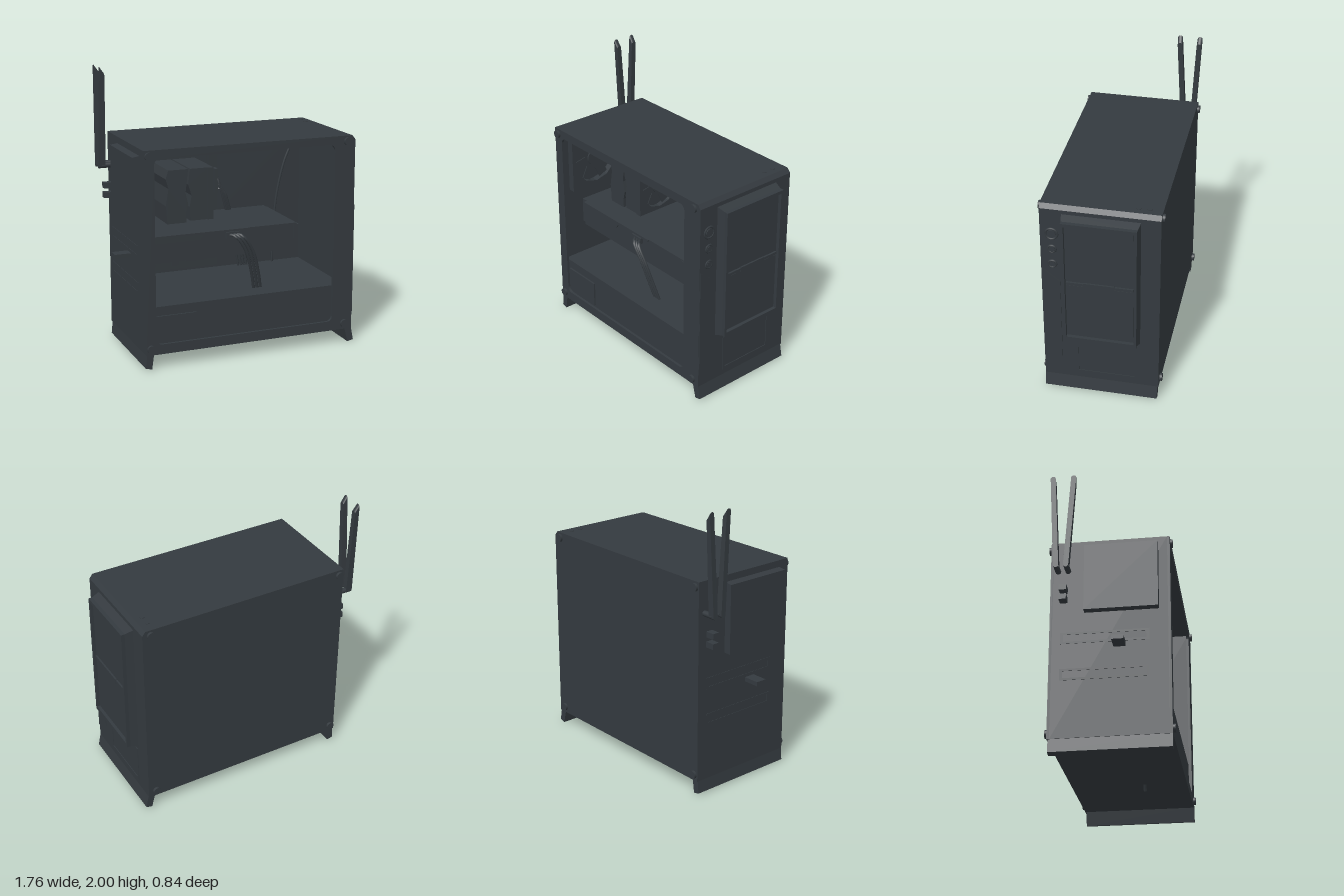
import * as THREE from 'three';

const mat = new THREE.MeshStandardMaterial({ color: 0x343a3f });
const V = (x, y, z) => new THREE.Vector3(x, y, z);

export function createModel() {
  const root = new THREE.Group();

  const add = (name, geo) => {
    const m = new THREE.Mesh(geo, mat);
    m.name = name;
    root.add(m);
    return m;
  };
  // box given by its limits on each axis
  const box = (name, x0, x1, y0, y1, z0, z1) => {
    const m = add(name, new THREE.BoxGeometry(x1 - x0, y1 - y0, z1 - z0));
    m.position.set((x0 + x1) / 2, (y0 + y1) / 2, (z0 + z1) / 2);
  };
  const poly = (pts) => new THREE.Shape(pts.map(([x, y]) => new THREE.Vector2(x, y)));
  const rect = (x0, x1, y0, y1) => poly([[x0, y0], [x1, y0], [x1, y1], [x0, y1]]);
  const roundRect = (x0, x1, y0, y1, r) => {
    const s = new THREE.Shape();
    s.absarc(x1 - r, y1 - r, r, 0, Math.PI / 2);
    s.absarc(x0 + r, y1 - r, r, Math.PI / 2, Math.PI);
    s.absarc(x0 + r, y0 + r, r, Math.PI, Math.PI * 1.5);
    s.absarc(x1 - r, y0 + r, r, Math.PI * 1.5, Math.PI * 2);
    return s;
  };
  // shape in the xy plane, extruded from z0 to z1
  const slab = (name, shape, z0, z1, hole) => {
    if (hole) shape.holes.push(hole);
    const g = new THREE.ExtrudeGeometry(shape, { depth: z1 - z0, bevelEnabled: false, curveSegments: 6 });
    return add(name, g.translate(0, 0, z0));
  };
  // shape drawn as (-z, y), extruded along +x from x0 to x1
  const sideSlab = (name, shape, x0, x1, hole) => {
    const m = slab(name, shape, x0, x1, hole);
    m.rotation.y = Math.PI / 2;
    return m;
  };
  const tube = (name, pts, r) =>
    add(name, new THREE.TubeGeometry(new THREE.CatmullRomCurve3(pts), 20, r, 6));
  const cyl = (name, r, h, axis, x, y, z, n = 20) => {
    const g = new THREE.CylinderGeometry(r, r, h, n);
    if (axis === 'x') g.rotateZ(Math.PI / 2);
    if (axis === 'z') g.rotateX(Math.PI / 2);
    add(name, g).position.set(x, y, z);
  };
  // fan facing along x: square frame with bore, hub and blades
  const fan = (x0, x1, y, z, half) => {
    const bore = new THREE.Path().absarc(-z, y, half * 0.88, 0, Math.PI * 2);
    sideSlab('fanFrame', rect(-z - half, -z + half, y - half, y + half), x0, x1, bore);
    const x = (x0 + x1) / 2;
    cyl('fanHub', half * 0.3, 0.03, 'x', x, y, z);
    for (let i = 0; i < 7; i++) {
      const b = add('fanBlade', new THREE.BoxGeometry(0.005, half * 0.58, half * 0.35).translate(0, half * 0.55, 0));
      b.position.set(x, y, z);
      b.rotation.x = (i / 7) * Math.PI * 2;
    }
  };

  // case shell: outer ring, window frame and back panel
  const outline = () => poly([[-0.765, 0.1], [0.796, 0.1], [0.796, 1.49], [0.772, 1.52], [-0.765, 1.52]]);
  slab('caseShell', outline(), -0.385, 0.385, rect(-0.74, 0.74, 0.12, 1.5));
  slab('windowFrame', outline(), 0.385, 0.403, roundRect(-0.69, 0.64, 0.17, 1.46, 0.04));
  slab('backPanel', outline(), -0.403, -0.385);

  // corner screws on both large sides
  for (const x of [-0.73, 0.735])
    for (const y of [0.145, 1.48])
      for (const s of [-1, 1]) cyl('cornerScrew', 0.028, 0.03, 'z', x, y, s * 0.405);

  // splayed feet
  slab('rearFoot', poly([[-0.77, 0.01], [-0.725, 0], [-0.71, 0.105], [-0.76, 0.105]]), -0.395, 0.403);
  slab('frontFoot', poly([[0.77, 0], [0.815, 0.01], [0.796, 0.105], [0.743, 0.105]]), -0.395, 0.403);

  // intake cover: tapered block with a recessed rim
  const taper = new THREE.BoxGeometry(0.065, 0.995, 0.53);
  const p = taper.attributes.position;
  for (let i = 0; i < p.count; i++)
    if (p.getX(i) > 0) p.setXYZ(i, p.getX(i), p.getY(i) * 0.955, p.getZ(i) * 0.95);
  taper.computeVertexNormals();
  add('intakeCover', taper).position.set(0.822, 0.967, -0.008);
  sideSlab('intakeRim', rect(-0.244, 0.26, 0.492, 1.443), 0.852, 0.88, rect(-0.225, 0.242, 0.52, 1.42));
  for (const [y0, y1] of [[0.525, 0.945], [0.98, 1.415]])
    box('intakePanel', 0.85, 0.86, y0, y1, -0.235, 0.22);
  box('intakeBar', 0.85, 0.868, 0.953, 0.973, -0.235, 0.22);
  box('intakeBarCentre', 0.85, 0.872, 0.947, 0.98, -0.11, 0.1);

  // lower frame and raised corner plate on the intake side
  sideSlab('lowerFrame', rect(-0.18, 0.255, 0.15, 0.44), 0.79, 0.801, rect(-0.16, 0.235, 0.17, 0.42));
  sideSlab('cornerPlate', poly([[-0.4, 0.2], [-0.275, 0.27], [-0.275, 0.92], [-0.4, 1.02]]), 0.79, 0.802);

  // control buttons and top buttons
  for (const [y, r] of [[1.3, 0.048], [1.18, 0.034], [1.06, 0.034]]) {
    const ring = add('buttonRing', new THREE.TorusGeometry(r - 0.008, 0.008, 6, 24));
    ring.rotation.y = Math.PI / 2;
    ring.position.set(0.796, y, 0.325);
    cyl('button', r * 0.6, 0.02, 'x', 0.794, y, 0.325, 12);
  }
  for (const z of [-0.315, -0.24]) cyl('topButton', 0.017, 0.01, 'y', 0.715, 1.518, z);

  // rear bulge, bracket tab, slots and ports
  slab('rearBulge', poly([[-0.817, 0.98], [-0.75, 0.98], [-0.75, 1.475], [-0.817, 1.465]]), -0.17, 0.325);
  box('rearTab', -0.882, -0.75, 0.72, 0.75, 0.025, 0.105);
  for (const y of [0.5, 0.76])
    sideSlab('rearSlot', rect(-0.26, 0.33, y, y + 0.08), -0.768, -0.76, rect(-0.24, 0.31, y + 0.015, y + 0.065));
  for (const y of [1.06, 1.13]) box('rearPort', -0.832, -0.75, y, y + 0.04, -0.335, -0.285);

  // antennas leaning apart, rounded tips cut on a slant
  for (const [z, lean] of [[-0.284, 0.06], [-0.352, -0.05]]) {
    cyl('antennaConnector', 0.02, 0.1, 'x', -0.8, 1.3, z, 10);
    const a = sideSlab('antenna', roundRect(-0.018, 0.018, -0.02, 0.7, 0.0175), -0.026, 0.022);
    const q = a.geometry.attributes.position;
    for (let i = 0; i < q.count; i++) {
      if (q.getY(i) < 0.6) continue;
      if (q.getZ(i) > 0) q.setXYZ(i, q.getX(i), q.getY(i) - 0.045, 0.016);
      else q.setZ(i, -0.016);
    }
    a.geometry.computeVertexNormals();
    a.position.set(-0.845, 1.3, z);
    a.rotation.x = lean;
  }

  // lower shroud with access plate
  box('powerShroud', -0.74, 0.74, 0.12, 0.43, -0.385, 0.372);
  box('shroudPlate', -0.69, -0.39, 0.175, 0.365, 0.37, 0.384);

  // main board on the back panel
  box('mainBoard', -0.69, 0.06, 0.45, 1.4, -0.385, -0.37);
  box('portCover', -0.69, -0.53, 0.98, 1.4, -0.37, -0.24);
  box('portCoverCap', -0.6, -0.53, 1.36, 1.39, -0.24, -0.23);
  for (const y of [0.495, 0.625]) {
    box('driveSlot', -0.6, -0.3, y, y + 0.02, -0.37, -0.35);
    box('driveSlotEnd', -0.31, -0.255, y - 0.012, y + 0.032, -0.37, -0.345);
  }
  slab('chipCover', poly([[-0.2, 0.51], [-0.04, 0.51], [-0.02, 0.56], [0, 0.6], [0, 0.69], [-0.2, 0.69]]), -0.37, -0.34);

  // memory modules with end clips
  for (let i = 0; i < 4; i++) {
    const x = -0.13 + i * 0.03;
    box('memory', x, x + 0.016, 0.93, 1.34, -0.37, -0.27);
    for (const y of [0.905, 1.34]) box('memoryClip', x - 0.003, x + 0.019, y, y + 0.022, -0.37, -0.32);
  }

  // processor cooler: two towers and a fan
  slab('coolerTower', poly([[-0.5, 0.93], [-0.36, 0.93], [-0.36, 1.0], [-0.345, 1.06], [-0.365, 1.14],
    [-0.345, 1.31], [-0.49, 1.31], [-0.51, 1.25], [-0.49, 1.18], [-0.51, 1.06]]), -0.25, 0.11);
  slab('coolerTower', poly([[-0.33, 0.94], [-0.2, 0.94], [-0.2, 1.31], [-0.33, 1.31], [-0.345, 1.2],
    [-0.32, 1.12], [-0.335, 1.04]]), -0.25, 0.11);
  fan(-0.205, -0.16, 1.125, -0.067, 0.185);
  box('coolerBase', -0.45, -0.22, 1.02, 1.22, -0.37, -0.24);

  // exhaust fan inside the rear wall
  fan(-0.74, -0.69, 1.21, 0.1, 0.215);

  // graphics card
  slab('graphicsCard', poly([[-0.69, 0.69], [0.43, 0.69], [0.45, 0.71], [0.45, 0.86], [0.43, 0.88], [-0.69, 0.88]]), -0.35, 0.22);
  slab('cardBackplate', poly([[-0.67, 0.83], [-0.3, 0.83], [-0.28, 0.86], [0.05, 0.86], [0.06, 0.88], [-0.69, 0.88]]), 0.2, 0.228);
  box('cardEnd', 0.41, 0.452, 0.7, 0.87, -0.34, 0.224);
  box('cardSocket', -0.11, -0.01, 0.82, 0.865, 0.2, 0.24);
  box('cardBracket', -0.74, -0.69, 0.69, 0.88, -0.35, 0.2);

  // cable pass-through strip along the top
  box('topStrip', -0.62, 0.45, 1.42, 1.455, -0.385, -0.36);
  for (let i = 0; i < 8; i++) {
    const x = -0.6 + i * 0.145;
    box('stripBlock', x, x + 0.015, 1.415, 1.46, -0.385, -0.35);
  }

  // cable runs
  for (let i = 0; i < 3; i++) {
    const d = i * 0.026;
    tube('cardCable', [V(-0.09 + d, 0.845, 0.22), V(-0.05 + d, 0.835, 0.27), V(0.025 + d, 0.72, 0.27),
      V(0.08 + d, 0.55, 0.24), V(0.11 + d, 0.42, 0.21)], 0.011);
  }
  for (let i = 0; i < 4; i++) {
    const d = i * 0.022;
    tube('boardCable', [V(0.035, 1.18 - d * 2, -0.34), V(0.05 + d / 2, 1.1 - d, -0.31), V(0.12 + d / 2, 0.85, -0.32),
      V(0.19 + d, 0.6, -0.34), V(0.225 + d, 0.42, -0.35)], 0.009);
  }
  box('boardSocket', 0.02, 0.045, 1.02, 1.2, -0.375, -0.31);
  tube('sideCable', [V(0.66, 1.34, -0.36), V(0.6, 1.2, -0.36), V(0.54, 0.95, -0.36), V(0.515, 0.7, -0.36), V(0.505, 0.42, -0.36)], 0.009);
  tube('cableEnd', [V(0.18, 0.12, 0.11), V(0.195, 0.09, 0.11), V(0.21, 0.06, 0.11)], 0.011);

  return root;
}
